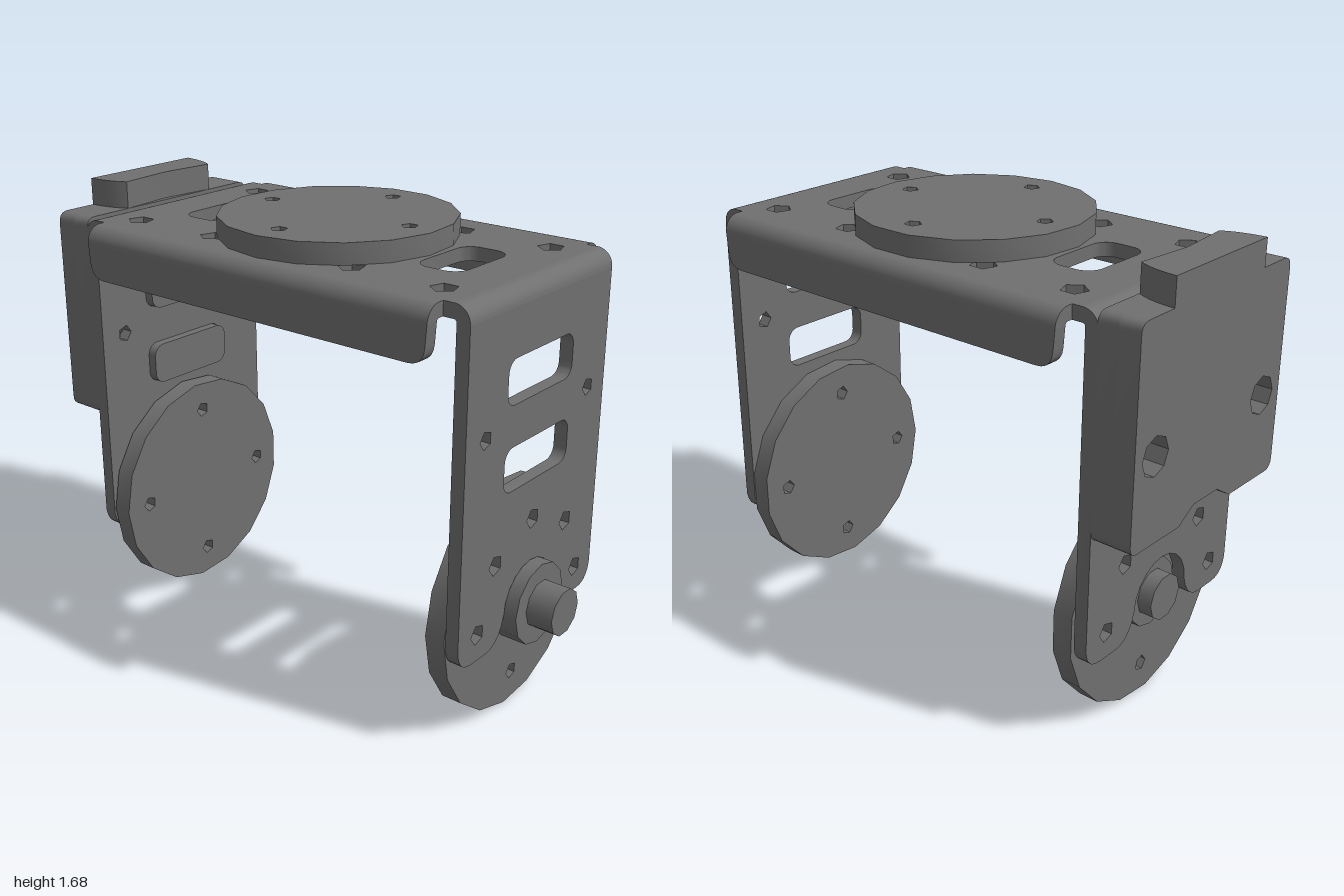
import * as THREE from 'three';
import { toCreasedNormals } from 'three/addons/utils/BufferGeometryUtils.js';

const material = new THREE.MeshStandardMaterial({ color: 0x707070 });
const T = 0.05;          // sheet thickness
const RING = 0.31;       // radius of the screw circle
const HUB_Y = 0.426;     // height of the side pivots
const BEND = 0.06;       // outer bend radius
const BEND_Y = 1.58 - BEND;

function extrude(name, shape, depth, z = 0) {
  let g = new THREE.ExtrudeGeometry(shape, { depth, bevelEnabled: false, curveSegments: 5 });
  g.translate(0, 0, z);
  g = toCreasedNormals(g, 0.7);
  const mesh = new THREE.Mesh(g, material);
  mesh.name = name;
  return mesh;
}

// Regular polygon outline, used for discs, pins and screw holes
function polygon(x, y, r, n, Type = THREE.Path) {
  const pts = [];
  for (let i = 0; i < n; i++) {
    const a = Math.PI + (i / n) * Math.PI * 2;
    pts.push(new THREE.Vector2(x + r * Math.cos(a), y + r * Math.sin(a)));
  }
  return new Type(pts);
}

function roundRect(cx, cy, w, h, r, Type = THREE.Path) {
  const p = new Type(), x = w / 2 - r, y = h / 2 - r;
  p.absarc(cx + x, cy + y, r, 0, Math.PI / 2);
  p.absarc(cx - x, cy + y, r, Math.PI / 2, Math.PI);
  p.absarc(cx - x, cy - y, r, Math.PI, Math.PI * 1.5);
  p.absarc(cx + x, cy - y, r, Math.PI * 1.5, Math.PI * 2);
  p.closePath();
  return p;
}

// Quarter-round sheet bend running along z, from +x up to +y
function bend(name, length) {
  const s = new THREE.Shape();
  s.absarc(0, 0, BEND, 0, Math.PI / 2);
  s.absarc(0, 0, BEND - T, Math.PI / 2, 0, true);
  s.closePath();
  return extrude(name, s, length, -length / 2);
}

// Mounting disc with collar and pin pointing along +z
function pivot(name, collarR, collarLen, pinLen) {
  const g = new THREE.Group();
  g.name = name;
  const disc = polygon(0, 0, 0.425, 17, THREE.Shape);
  for (let i = 0; i < 4; i++) {
    const a = (i * Math.PI) / 2;
    disc.holes.push(polygon(RING * Math.cos(a), RING * Math.sin(a), 0.03, 5));
  }
  g.add(
    extrude('disc', disc, 0.075, -0.075),
    extrude('collar', polygon(0, 0, collarR, 12, THREE.Shape), collarLen),
    extrude('pin', polygon(0, 0, 0.086, 10, THREE.Shape), pinLen)
  );
  return g;
}

// Side arm with slots, screw holes and an arch around the pivot
function arm(name) {
  const g = new THREE.Group();
  g.name = name;
  const s = new THREE.Shape();
  s.moveTo(0.42, BEND_Y);
  s.lineTo(-0.42, BEND_Y);
  s.lineTo(-0.42, 0.4);
  s.quadraticCurveTo(-0.41, 0.326, -0.34, 0.326);
  s.lineTo(-0.25, 0.326);
  s.quadraticCurveTo(-0.175, 0.33, -0.152, HUB_Y);
  s.absarc(0, HUB_Y, 0.152, Math.PI, 0, true);
  s.quadraticCurveTo(0.175, 0.33, 0.25, 0.326);
  s.lineTo(0.34, 0.326);
  s.quadraticCurveTo(0.41, 0.326, 0.42, 0.4);
  s.closePath();
  for (let i = 0; i < 5; i++) {
    const a = (i * Math.PI) / 4;
    s.holes.push(polygon(RING * Math.cos(a), HUB_Y + RING * Math.sin(a), 0.037, 5));
  }
  for (const x of [-RING, RING]) s.holes.push(polygon(x, 1.12, 0.032, 5));
  for (const y of [0.965, 1.27]) s.holes.push(roundRect(0, y, 0.388, 0.158, 0.045));
  const top = bend('armBend', 0.84);
  top.rotation.y = -Math.PI / 2;
  top.position.set(0, BEND_Y, 0.85 - BEND);
  g.add(extrude('armPlate', s, T, 0.8), top);
  return g;
}

// Folded flange along one long side of the top plate
function flange(name) {
  const g = new THREE.Group();
  g.name = name;
  const s = new THREE.Shape();
  s.moveTo(0.75, BEND_Y);
  s.lineTo(-0.75, BEND_Y);
  s.lineTo(-0.745, 1.45);
  s.quadraticCurveTo(-0.74, 1.39, -0.68, 1.39);
  s.lineTo(0.68, 1.39);
  s.quadraticCurveTo(0.74, 1.39, 0.745, 1.45);
  s.closePath();
  const side = extrude('flangePlate', s, T, 0.45);
  side.rotation.y = Math.PI / 2;
  const edge = bend('flangeBend', 1.5);
  edge.position.set(0.5 - BEND, BEND_Y, 0);
  g.add(side, edge);
  return g;
}

function topPlate() {
  const x1 = 0.5 - BEND, z1 = 0.85 - BEND;
  const s = new THREE.Shape([
    [x1, -0.75], [x1, 0.75], [0.42, 0.75], [0.42, z1], [-0.42, z1], [-0.42, 0.75],
    [-x1, 0.75], [-x1, -0.75], [-0.42, -0.75], [-0.42, -z1], [0.42, -z1], [0.42, -0.75],
  ].map(([x, y]) => new THREE.Vector2(x, y)));
  s.holes.push(polygon(0, 0, 0.155, 12));
  for (let i = 0; i < 8; i++) {
    const a = (i * Math.PI) / 4;
    s.holes.push(polygon(RING * Math.cos(a), RING * Math.sin(a), 0.035, 5));
  }
  for (const k of [-1, 1]) {
    s.holes.push(roundRect(0, k * 0.53, 0.31, 0.18, 0.06));
    for (const x of [-RING, RING])
      for (const z of [0.31, 0.675]) s.holes.push(polygon(x, k * z, 0.047, 5));
  }
  const mesh = extrude('topPlate', s, T, 1.53);
  mesh.rotation.x = -Math.PI / 2;
  return mesh;
}

// Block on the back arm: notch below, counterbored screw holes, tapered tab on top
function backBlock() {
  const g = new THREE.Group();
  g.name = 'backBlock';
  const outline = (holeR, n) => {
    const s = new THREE.Shape();
    s.moveTo(-0.38, 0.81);
    s.lineTo(-0.15, 0.81);
    s.lineTo(-0.07, 0.86);
    s.lineTo(0.07, 0.86);
    s.lineTo(0.15, 0.81);
    s.lineTo(0.38, 0.81);
    s.quadraticCurveTo(0.42, 0.81, 0.42, 0.85);
    s.lineTo(0.42, 1.54);
    s.quadraticCurveTo(0.42, 1.58, 0.38, 1.58);
    s.lineTo(-0.38, 1.58);
    s.quadraticCurveTo(-0.42, 1.58, -0.42, 1.54);
    s.lineTo(-0.42, 0.85);
    s.quadraticCurveTo(-0.42, 0.81, -0.38, 0.81);
    for (const x of [-RING, RING]) s.holes.push(polygon(x, 1.12, holeR, n));
    return s;
  };
  const tabPlan = new THREE.Shape();
  tabPlan.moveTo(-0.215, 0.847);
  tabPlan.lineTo(0, 0.868);
  tabPlan.lineTo(0.215, 0.847);
  tabPlan.quadraticCurveTo(0.25, 0.9, 0.255, 1);
  tabPlan.lineTo(-0.255, 1);
  tabPlan.quadraticCurveTo(-0.25, 0.9, -0.215, 0.847);
  const tab = extrude('blockTab', tabPlan, 0.11, 1.57);
  tab.rotation.x = -Math.PI / 2;
  g.add(
    extrude('blockOuter', outline(0.07, 8), 0.08, -1),
    extrude('blockInner', outline(0.032, 5), 0.075, -0.92),
    tab
  );
  // Pegs reaching through the slots of the arm
  for (const y of [0.965, 1.27])
    g.add(extrude('slotPeg', roundRect(0, y, 0.386, 0.156, 0.045, THREE.Shape), 0.085, -0.85));
  return g;
}

export function createModel() {
  const model = new THREE.Group();
  model.name = 'bracket';

  const backArm = arm('backArm');
  const rightFlange = flange('rightFlange');
  backArm.rotation.y = rightFlange.rotation.y = Math.PI;
  model.add(topPlate(), arm('frontArm'), backArm, flange('leftFlange'), rightFlange, backBlock());

  const front = pivot('frontPivot', 0.15, 0.1, 0.2);
  front.position.set(0, HUB_Y, 0.797);
  const back = pivot('backPivot', 0.13, 0.03, 0.085);
  back.rotation.x = Math.PI;
  back.position.set(0, HUB_Y, -0.787);
  const top = pivot('topPivot', 0.15, 0.1, 0.2);
  top.rotation.x = Math.PI / 2;
  top.position.set(0, 1.58, 0);
  model.add(front, back, top);
  return model;
}
